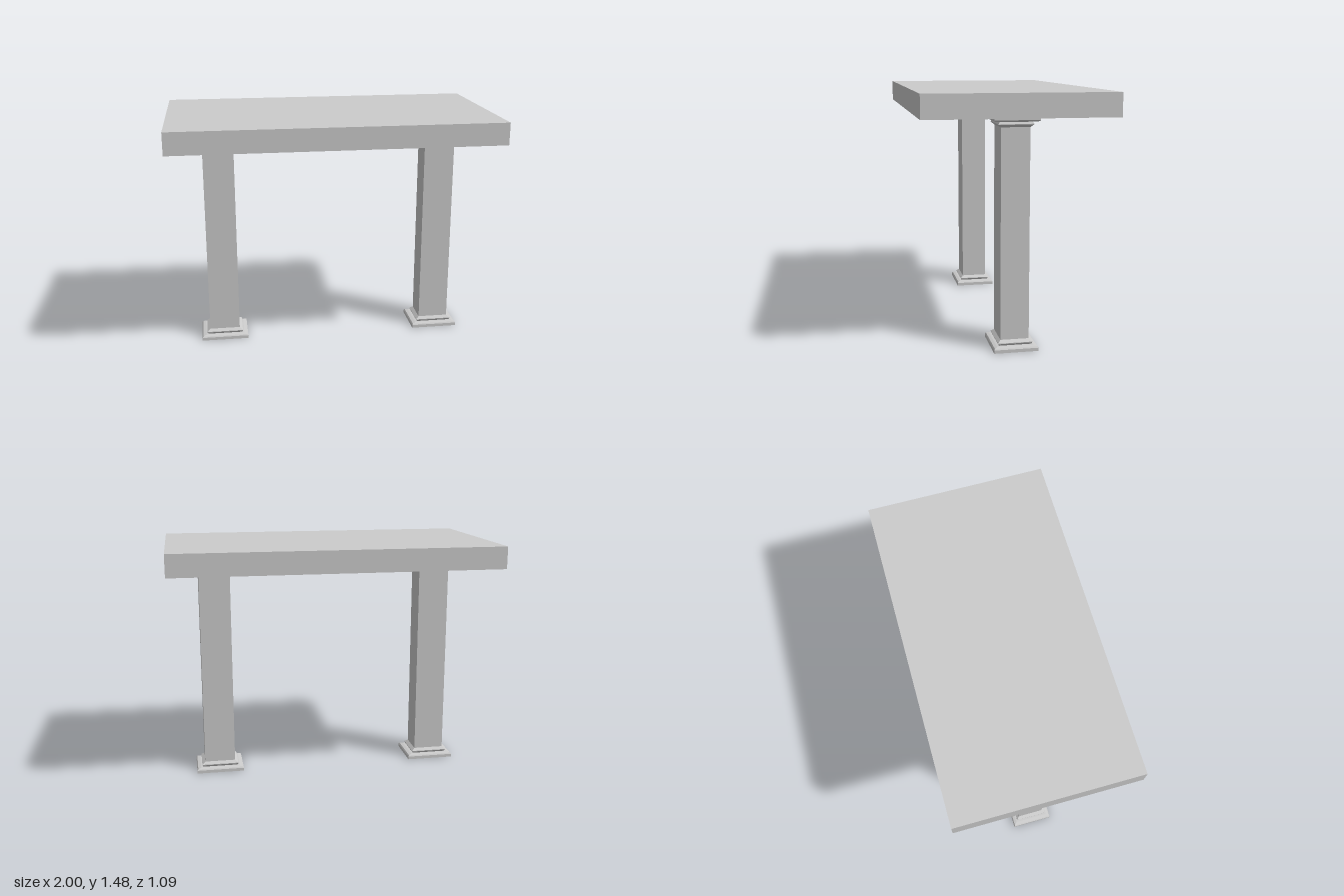
import * as THREE from 'three';

const TOP_Y = 1.34;      // underside of the slab
const SLAB_H = 0.135;
const X_RATIO = 1.16;    // columns are wider in x than in z

// Half-depth / height profile of the base moulding, bottom to top
const MOULDING = [
  [0, 0], [0.129, 0], [0.129, 0.019], [0.124, 0.026], [0.108, 0.03],
  [0.094, 0.031], [0.1, 0.042], [0.1, 0.046], [0.083, 0.061],
];

export function createModel() {
  const model = new THREE.Group();
  const material = new THREE.MeshStandardMaterial({ color: 0xcccccc, flatShading: true });

  const add = (parent, name, geometry, y) => {
    const mesh = new THREE.Mesh(geometry, material);
    mesh.name = name;
    mesh.position.y = y;
    parent.add(mesh);
  };

  // Four-sided turned profile, stretched to the rectangular column section
  const squareLathe = (profile) => {
    const points = profile.map(([r, y]) => new THREE.Vector2(r * Math.SQRT2, y));
    return new THREE.LatheGeometry(points, 4, Math.PI / 4).scale(X_RATIO, 1, 1);
  };

  // Table slab
  add(model, 'tableTop', new THREE.BoxGeometry(2, SLAB_H, 1.09), TOP_Y + SLAB_H / 2);

  // Shaft and mouldings; the capital is the base mirrored in height
  const shaftH = TOP_Y - 0.12;
  const shaft = new THREE.BoxGeometry(0.166 * X_RATIO, shaftH, 0.166);
  const base = squareLathe(MOULDING);
  const capital = squareLathe(MOULDING.map(([r, y]) => [r, -y]).reverse());

  for (const [name, x] of [['rightColumn', -0.695], ['leftColumn', 0.712]]) {
    const column = new THREE.Group();
    column.name = name;
    column.position.x = x;
    add(column, 'shaft', shaft, TOP_Y / 2);
    add(column, 'base', base, 0);
    add(column, 'capital', capital, TOP_Y);
    model.add(column);
  }
  return model;
}
